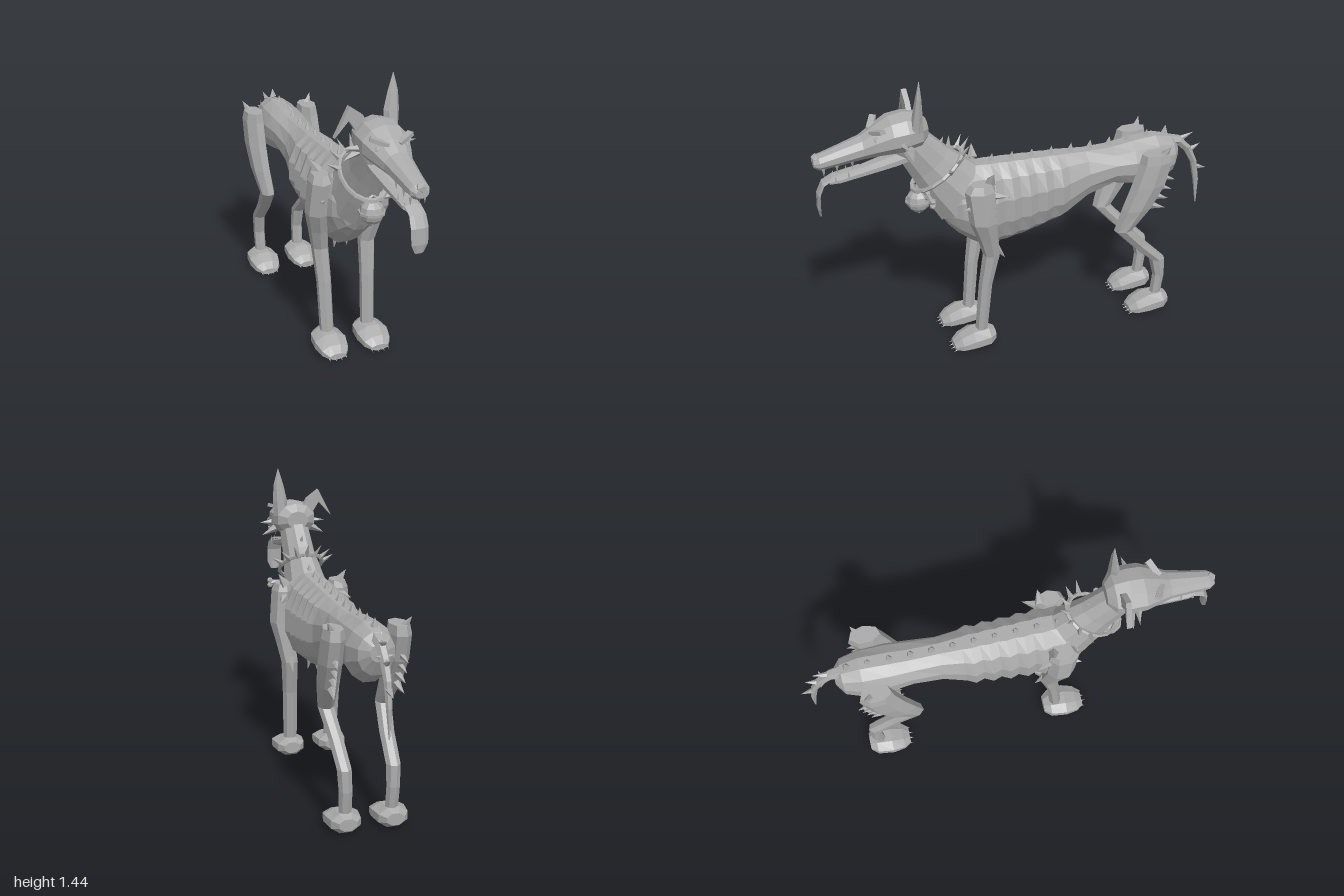
import * as THREE from 'three';

const grey = new THREE.MeshStandardMaterial({ color: 0xaaaaaa });
grey.name = 'grey';

// faceted mesh from any geometry
function add(parent, name, geo) {
  const g = geo.index ? geo.toNonIndexed() : geo;
  g.computeVertexNormals();
  const m = new THREE.Mesh(g, grey);
  m.name = name;
  parent.add(m);
  return m;
}

// Closed skin over elliptical rings [x, y, z, rx, rv, tilt]; tilt 0 = upright ring facing +z, 90 = level ring facing down
function loft(rings, n = 8, phase = 0) {
  const pos = [], idx = [];
  for (const [x, y, z, rx, rv, tilt = 0] of rings) {
    const t = THREE.MathUtils.degToRad(tilt);
    for (let i = 0; i < n; i++) {
      const a = ((i + phase) / n) * Math.PI * 2, v = Math.sin(a) * rv;
      pos.push(x + Math.cos(a) * rx, y + v * Math.cos(t), z + v * Math.sin(t));
    }
  }
  const last = rings.length - 1;
  for (let k = 0; k < last; k++) for (let i = 0; i < n; i++) {
    const a = k * n + i, b = k * n + (i + 1) % n;
    idx.push(a, b, b + n, a, b + n, a + n);
  }
  for (let i = 1; i < n - 1; i++) idx.push(0, i + 1, i, last * n, last * n + i, last * n + i + 1);
  const g = new THREE.BufferGeometry();
  g.setAttribute('position', new THREE.Float32BufferAttribute(pos, 3));
  g.setIndex(idx);
  return g;
}

const UP = new THREE.Vector3(0, 1, 0);
function spike(parent, name, p, dir, len, r, sides = 5) {
  const d = new THREE.Vector3(...dir).normalize();
  const m = add(parent, name, new THREE.ConeGeometry(r, len, sides));
  m.quaternion.setFromUnitVectors(UP, d);
  m.position.set(...p).addScaledVector(d, len / 2 - 0.008);
}

function plate(points, depth) {
  return new THREE.ExtrudeGeometry(new THREE.Shape(points.map(p => new THREE.Vector2(...p))), { depth, bevelEnabled: false });
}

export function createModel() {
  const dog = new THREE.Group();
  dog.name = 'dog';

  // torso: rows of [z, bottom, top, half width], with alternating ribs in the middle
  const rows = [[-0.805, 0.81, 0.89, 0.04], [-0.77, 0.74, 0.935, 0.085], [-0.68, 0.68, 0.96, 0.11], [-0.55, 0.71, 0.95, 0.113],
    [-0.45, 0.735, 0.935, 0.105], [-0.31, 0.68, 0.935, 0.1]];
  for (let i = 0; i <= 10; i++) {
    const f = i / 10, rib = i % 2 ? 0.012 : -0.006;
    rows.push([-0.2 + 0.042 * i, 0.605 - 0.085 * Math.sin(f * Math.PI / 2), 0.945 + 0.02 * f, 0.125 + 0.018 * f + rib]);
  }
  rows.push([0.28, 0.56, 0.965, 0.14], [0.34, 0.61, 0.93, 0.12], [0.385, 0.66, 0.86, 0.085], [0.41, 0.7, 0.8, 0.045]);
  add(dog, 'torso', loft(rows.map(([z, b, t, w]) => [0, (b + t) / 2, z, w, (t - b) / 2]), 12, 0.5));

  // neck
  add(dog, 'neck', loft([[0, 0.8, 0.29, 0.12, 0.17, -54], [0, 0.89, 0.37, 0.1, 0.145, -54], [0, 1.0, 0.46, 0.08, 0.112, -54],
    [0, 1.11, 0.54, 0.075, 0.09, -54], [0, 1.17, 0.57, 0.07, 0.08, -54]], 10));

  // head with upper muzzle, and lower jaw
  add(dog, 'head', loft([[0, 1.18, 0.47, 0.055, 0.045], [0, 1.18, 0.505, 0.1, 0.08], [0, 1.178, 0.57, 0.115, 0.093], [0, 1.173, 0.64, 0.113, 0.088],
    [0, 1.152, 0.71, 0.09, 0.07], [0, 1.13, 0.77, 0.068, 0.054], [0, 1.105, 0.88, 0.054, 0.045], [0, 1.088, 0.965, 0.046, 0.036], [0, 1.086, 0.99, 0.03, 0.02]], 10, 0.5));
  add(dog, 'lowerJaw', loft([[0, 1.065, 0.54, 0.06, 0.03], [0, 1.045, 0.62, 0.06, 0.03], [0, 1.015, 0.76, 0.048, 0.024], [0, 0.99, 0.88, 0.038, 0.018], [0, 0.98, 0.925, 0.022, 0.01]], 8, 0.5));
  add(dog, 'tongue', loft([[0, 1.03, 0.78, 0.034, 0.007, 5], [0, 1.005, 0.91, 0.036, 0.007, 15], [0, 0.98, 0.955, 0.038, 0.008, 45],
    [0, 0.93, 0.978, 0.04, 0.008, 80], [0, 0.86, 0.982, 0.038, 0.008, 92], [0, 0.82, 0.978, 0.02, 0.005, 95]], 6));
  const nose = add(dog, 'nose', new THREE.IcosahedronGeometry(0.024, 0));
  nose.position.set(0, 1.108, 0.975);

  // ears: one upright, one folded over
  add(dog, 'uprightEar', loft([[0.078, 1.2, 0.53, 0.034, 0.03, -90], [0.08, 1.28, 0.525, 0.037, 0.022, -90],
    [0.088, 1.36, 0.52, 0.025, 0.013, -90], [0.091, 1.44, 0.515, 0.002, 0.002, -90]], 6));
  const fold = add(dog, 'foldedEar', plate([[-0.04, 1.24], [-0.085, 1.2], [-0.125, 1.262], [-0.19, 1.19], [-0.122, 1.325], [-0.06, 1.28]], 0.025));
  fold.position.z = 0.52;

  for (const s of [1, -1]) {
    const side = s > 0 ? 'left' : 'right';

    // face: brow, eye, cheek spikes, teeth
    const brow = add(dog, side + 'Brow', new THREE.BoxGeometry(0.085, 0.018, 0.03));
    brow.position.set(s * 0.058, 1.214, 0.705);
    brow.rotation.set(0, s * 0.45, s * 0.32);
    const eye = add(dog, side + 'Eye', new THREE.IcosahedronGeometry(0.019, 0));
    eye.position.set(s * 0.062, 1.18, 0.708);
    spike(dog, 'cheekSpike', [s * 0.105, 1.155, 0.6], [s, 0, -0.15], 0.075, 0.018, 4);
    spike(dog, 'cheekSpike', [s * 0.1, 1.125, 0.57], [s, -0.5, 0], 0.08, 0.022, 4);
    for (const [z, y] of [[0.95, 1.055], [0.89, 1.065], [0.82, 1.075]])
      spike(dog, 'upperTooth', [s * 0.033, y, z], [0, -1, 0], 0.04, 0.008, 4);
    for (const [z, y] of [[0.9, 0.995], [0.84, 1.01]])
      spike(dog, 'lowerTooth', [s * 0.033, y, z], [0, 1, 0], 0.035, 0.007, 4);

    // legs: rings from shoulder or hip down to the ankle
    add(dog, side + 'FrontLeg', loft([[0.14, 0.915, 0.255, 0.04, 0.055], [0.143, 0.88, 0.26, 0.052, 0.075], [0.152, 0.72, 0.25, 0.056, 0.068],
      [0.135, 0.62, 0.225, 0.048, 0.052], [0.12, 0.52, 0.205, 0.042, 0.042], [0.112, 0.35, 0.235, 0.037, 0.033], [0.106, 0.07, 0.26, 0.035, 0.03]]
      .map(r => [s * r[0], ...r.slice(1), 90]), 7));
    add(dog, side + 'HindLeg', loft([[0.148, 0.925, -0.63, 0.045, 0.075], [0.15, 0.88, -0.63, 0.052, 0.085], [0.152, 0.76, -0.595, 0.052, 0.09],
      [0.148, 0.64, -0.54, 0.047, 0.078], [0.135, 0.52, -0.477, 0.037, 0.047], [0.12, 0.41, -0.575, 0.034, 0.045],
      [0.113, 0.3, -0.685, 0.033, 0.042], [0.11, 0.2, -0.7, 0.031, 0.03], [0.108, 0.07, -0.685, 0.03, 0.028]]
      .map(r => [s * r[0], ...r.slice(1), 90]), 7));

    // paws with claws
    for (const [name, dz] of [['FrontPaw', 0], ['HindPaw', -0.94]]) {
      add(dog, side + name, loft([[0.11, 0.055, 0.195, 0.045, 0.03], [0.11, 0.052, 0.23, 0.074, 0.05], [0.11, 0.05, 0.31, 0.085, 0.048],
        [0.11, 0.036, 0.37, 0.072, 0.034], [0.11, 0.025, 0.405, 0.045, 0.016]].map(([x, y, z, a, b]) => [s * x, y, z + dz, a, b]), 8, 0.5));
      for (let i = 0; i < 4; i++)
        spike(dog, 'claw', [s * 0.11 + (i - 1.5) * 0.028, 0.024, 0.395 + dz - Math.abs(i - 1.5) * 0.008], [0, -0.3, 1], 0.045, 0.009, 4);
    }

    // shoulder, hip and thigh spikes
    spike(dog, 'shoulderSpike', [s * 0.14, 0.92, 0.21], [s * 0.5, 0.8, -0.1], 0.07, 0.026);
    spike(dog, 'shoulderSpike', [s * 0.15, 0.85, 0.19], [s * 0.5, -0.1, -1], 0.075, 0.024);
    spike(dog, 'shoulderSpike', [s * 0.15, 0.8, 0.31], [s * 0.5, 0.2, 1], 0.05, 0.018);
    spike(dog, 'elbowSpike', [s * 0.12, 0.54, 0.175], [0, -0.9, -0.6], 0.08, 0.018);
    spike(dog, 'hipSpike', [s * 0.16, 0.91, -0.66], [s * 0.4, 0.8, -0.4], 0.075, 0.026);
    for (let i = 0; i < 4; i++)
      spike(dog, 'thighSpike', [s * 0.15, 0.79 - i * 0.05, -0.67 + i * 0.015], [s * 0.15, -0.35, -1], 0.075, 0.02);
    spike(dog, 'chestSpike', [s * 0.025, 0.54, 0.17], [s * 0.15, -1, 0.05], 0.07, 0.018);
  }
  spike(dog, 'chestSpike', [0, 0.54, 0.13], [0, -1, 0], 0.06, 0.018);

  // row of spikes along the spine and up the neck
  for (let i = 0; i < 11; i++) {
    const z = 0.26 - i * 0.1;
    spike(dog, 'spineSpike', [0, 0.943 + 0.022 * Math.pow((z + 0.3) / 0.56, 2), z], [0, 1, -0.15], 0.042, 0.018);
  }
  spike(dog, 'neckSpike', [0, 1.07, 0.41], [0, 0.8, -0.35], 0.06, 0.018);

  // collar with spikes round the nape
  const collar = new THREE.Group();
  collar.name = 'collar';
  collar.position.set(0, 0.955, 0.425);
  collar.rotation.x = Math.PI / 2 + 0.6;
  dog.add(collar);
  const band = add(collar, 'collarBand', new THREE.TorusGeometry(1, 0.09, 5, 16));
  band.scale.set(0.108, 0.145, 0.12);
  for (let i = 0; i < 7; i++) {
    const a = -Math.PI / 2 + (i - 3) * 0.42;
    spike(collar, 'collarSpike', [Math.cos(a) * 0.11, Math.sin(a) * 0.147, 0], [Math.cos(a), Math.sin(a), -0.45], 0.075, 0.015, 4);
  }

  // bell and bone tag hanging from the collar
  const bell = add(dog, 'bell', new THREE.SphereGeometry(0.058, 9, 6));
  bell.position.set(0, 0.81, 0.52);
  add(dog, 'bellRim', new THREE.CylinderGeometry(0.063, 0.063, 0.012, 9)).position.set(0, 0.81, 0.52);
  add(dog, 'bellLoop', new THREE.TorusGeometry(0.018, 0.006, 4, 8)).position.set(0, 0.87, 0.525);
  add(dog, 'bellClapper', new THREE.IcosahedronGeometry(0.016, 0)).position.set(0, 0.755, 0.52);
  const bone = add(dog, 'boneTag', new THREE.CylinderGeometry(0.013, 0.013, 0.09, 6));
  bone.rotation.z = Math.PI / 2;
  bone.position.set(0.102, 0.86, 0.49);
  for (const x of [0.058, 0.146]) for (const y of [0.848, 0.872])
    add(dog, 'boneKnob', new THREE.IcosahedronGeometry(0.016, 0)).position.set(x, y, 0.49);

  // tail with spikes
  add(dog, 'tail', loft([[0, 0.905, -0.76, 0.032, 0.032, 170], [0, 0.895, -0.82, 0.026, 0.025, 150], [0, 0.84, -0.875, 0.022, 0.021, 130],
    [0, 0.76, -0.915, 0.018, 0.017, 112], [0, 0.65, -0.936, 0.014, 0.014, 100], [0, 0.52, -0.945, 0.003, 0.003, 92]], 6));
  for (const [y, z, dy, l] of [[0.9, -0.83, 0.35, 0.085], [0.83, -0.89, 0.5, 0.07], [0.73, -0.925, -0.3, 0.075]])
    spike(dog, 'tailSpike', [0, y, z], [0, dy, -1], l, 0.018);
  for (const s of [1, -1]) spike(dog, 'tailSpike', [s * 0.015, 0.85, -0.865], [s, 0.4, -0.4], 0.04, 0.014);

  return dog;
}
